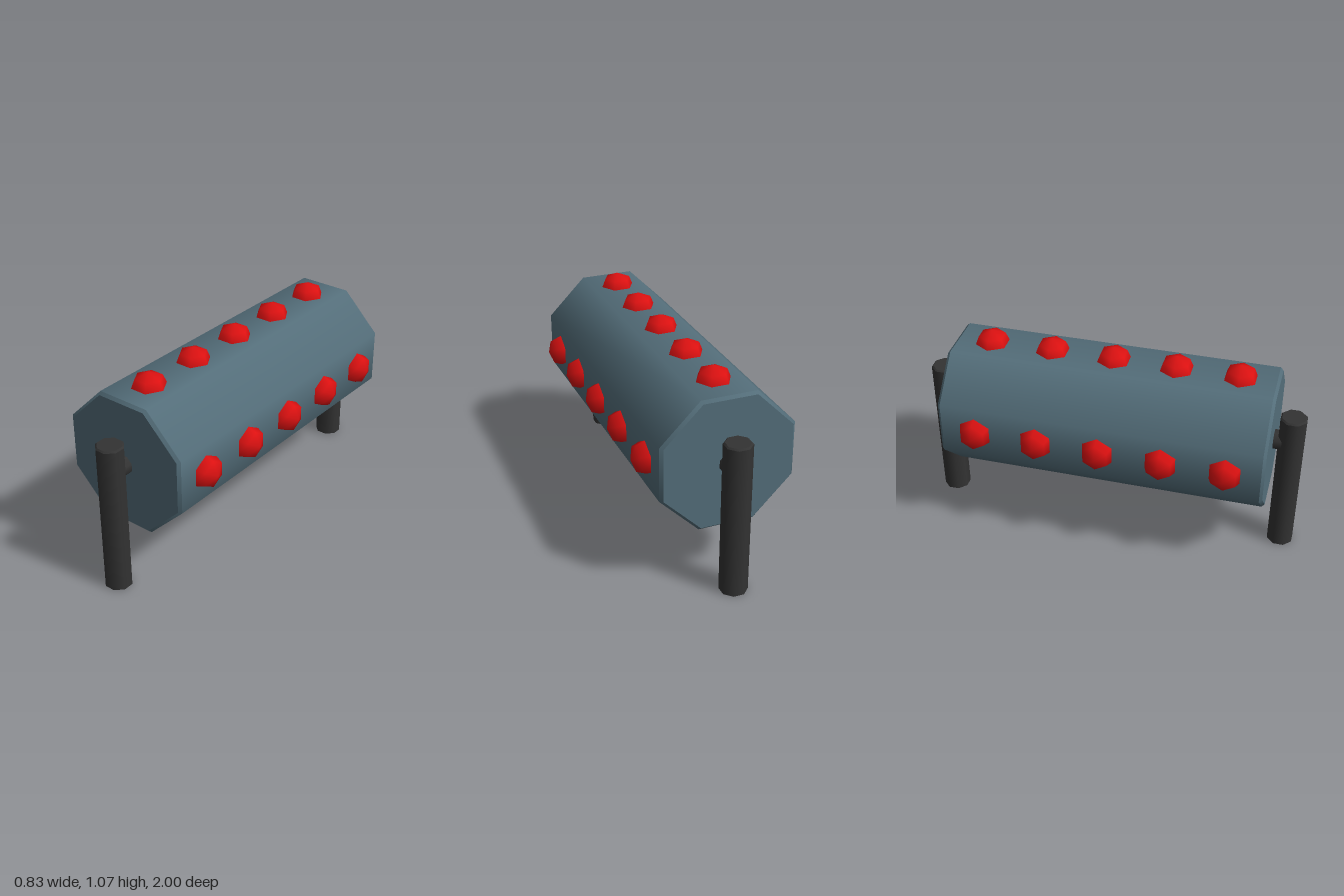
import * as THREE from 'three';

const AXIS_Y = 0.655;   // height of the drum's axis
const FLAT = 0.344;     // axis to each flat side of the drum
const octRadius = (flat) => flat / Math.cos(Math.PI / 8);

// Eight-sided bar along y, smooth around its sides; corners in the profile
// are doubled so the chamfers and caps stay crisp.
function octBar(flat, y0, y1, bottomBevel, topBevel) {
  const r = octRadius(flat);
  const corners = [[0, y0], [r - bottomBevel, y0]];
  if (bottomBevel) corners.push([r, y0 + bottomBevel]);
  corners.push([r, y1 - topBevel]);
  if (topBevel) corners.push([r - topBevel, y1]);
  corners.push([0, y1]);
  const points = corners.flatMap(([x, y], i) => {
    const p = new THREE.Vector2(x, y);
    return i === 0 || i === corners.length - 1 ? [p] : [p, p.clone()];
  });
  return new THREE.LatheGeometry(points, 8, Math.PI / 8);
}

export function createModel() {
  const model = new THREE.Group();
  const steel = new THREE.MeshStandardMaterial({ color: 0x546e7a });
  const dark = new THREE.MeshStandardMaterial({ color: 0x333333 });
  const red = new THREE.MeshStandardMaterial({ color: 0xdd1111 });

  const add = (name, geometry, material, parent = model) => {
    const mesh = new THREE.Mesh(geometry, material);
    mesh.name = name;
    parent.add(mesh);
    return mesh;
  };

  // Roller: drum, axle and studs share the horizontal axis along z
  const roller = new THREE.Group();
  roller.name = 'roller';
  roller.position.y = AXIS_Y;
  model.add(roller);

  add('drum', octBar(FLAT, -0.845, 0.845, 0.015, 0.015).rotateX(Math.PI / 2), steel, roller);
  add('axle', octBar(0.048, -0.93, 0.93, 0, 0).rotateX(Math.PI / 2), dark, roller);

  // Four rows of five half-sunk studs
  const studGeometry = new THREE.SphereGeometry(0.1, 6, 4).translate(0, FLAT - 0.027, 0);
  for (let row = 0; row < 4; row++) {
    const studRow = new THREE.Group();
    studRow.name = 'studRow';
    studRow.rotation.z = row * Math.PI / 2;
    roller.add(studRow);
    for (let i = -2; i <= 2; i++) {
      add('stud', studGeometry, red, studRow).position.z = i * 0.325;
    }
  }

  // Upright post at each end
  const postGeometry = octBar(0.066, 0, 0.81, 0, 0.008);
  for (const side of [1, -1]) {
    add(side > 0 ? 'frontPost' : 'backPost', postGeometry, dark).position.z = side * 0.934;
  }

  return model;
}
